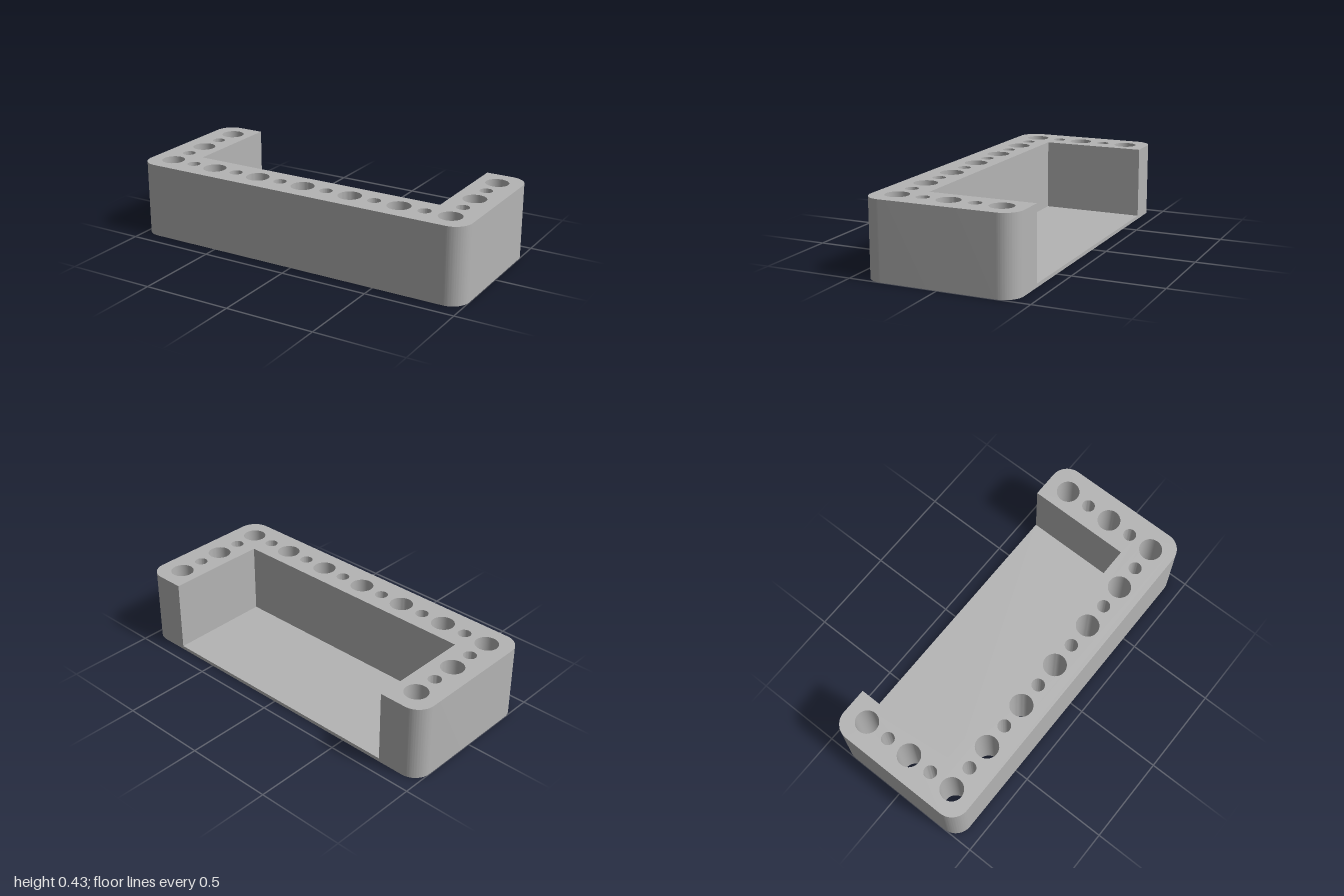
import * as THREE from 'three';
import { toCreasedNormals } from 'three/addons/utils/BufferGeometryUtils.js';

const W = 1, D = 0.42, H = 0.425;            // half width, half depth, height
const R = 0.1;                               // outer corner radius
const SLOT_X = 0.75, SLOT_Z = 0.17;          // tray half width and front limit
const FLOOR = 0.02;                          // floor thickness
const PITCH = 0.2885, BIG = 0.064, SMALL = 0.036;

export function createModel() {
  const group = new THREE.Group();
  const grey = new THREE.MeshStandardMaterial({ color: 0xb4b4b4 });
  grey.name = 'grey';

  // U-shaped outline, drawn with shape y = -z
  const outline = new THREE.Shape();
  outline.moveTo(-W + R, -D);
  outline.lineTo(W - R, -D);
  outline.absarc(W - R, -D + R, R, -Math.PI / 2, 0);
  outline.lineTo(W, D - R);
  outline.absarc(W - R, D - R, R, 0, Math.PI / 2);
  outline.lineTo(SLOT_X, D);
  outline.lineTo(SLOT_X, -SLOT_Z);
  outline.lineTo(-SLOT_X, -SLOT_Z);
  outline.lineTo(-SLOT_X, D);
  outline.lineTo(-W + R, D);
  outline.absarc(-W + R, D - R, R, Math.PI / 2, Math.PI);
  outline.lineTo(-W, -D + R);
  outline.absarc(-W + R, -D + R, R, Math.PI, Math.PI * 1.5);

  // Through holes alternate big and small every half pitch
  const addHole = (x, z, step) => {
    const hole = new THREE.Path();
    hole.absarc(x, -z, step % 2 === 0 ? BIG : SMALL, 0, Math.PI * 2, true);
    outline.holes.push(hole);
  };
  for (let i = -6; i <= 6; i++) addHole(i * PITCH / 2, PITCH, i);
  for (const side of [-1, 1]) {
    for (let j = -2; j <= 1; j++) addHole(side * 3 * PITCH, j * PITCH / 2, j);
  }

  const wallGeometry = new THREE.ExtrudeGeometry(outline, {
    depth: H, bevelEnabled: false, curveSegments: 20,
  });
  wallGeometry.rotateX(-Math.PI / 2);
  const walls = new THREE.Mesh(toCreasedNormals(wallGeometry, 0.6), grey);
  walls.name = 'perforatedWalls';
  group.add(walls);

  // Thin floor between the arms, open at the back
  const floor = new THREE.Mesh(new THREE.BoxGeometry(SLOT_X * 2, FLOOR, SLOT_Z + D), grey);
  floor.name = 'trayFloor';
  floor.position.set(0, FLOOR / 2, (SLOT_Z - D) / 2);
  group.add(floor);

  return group;
}
